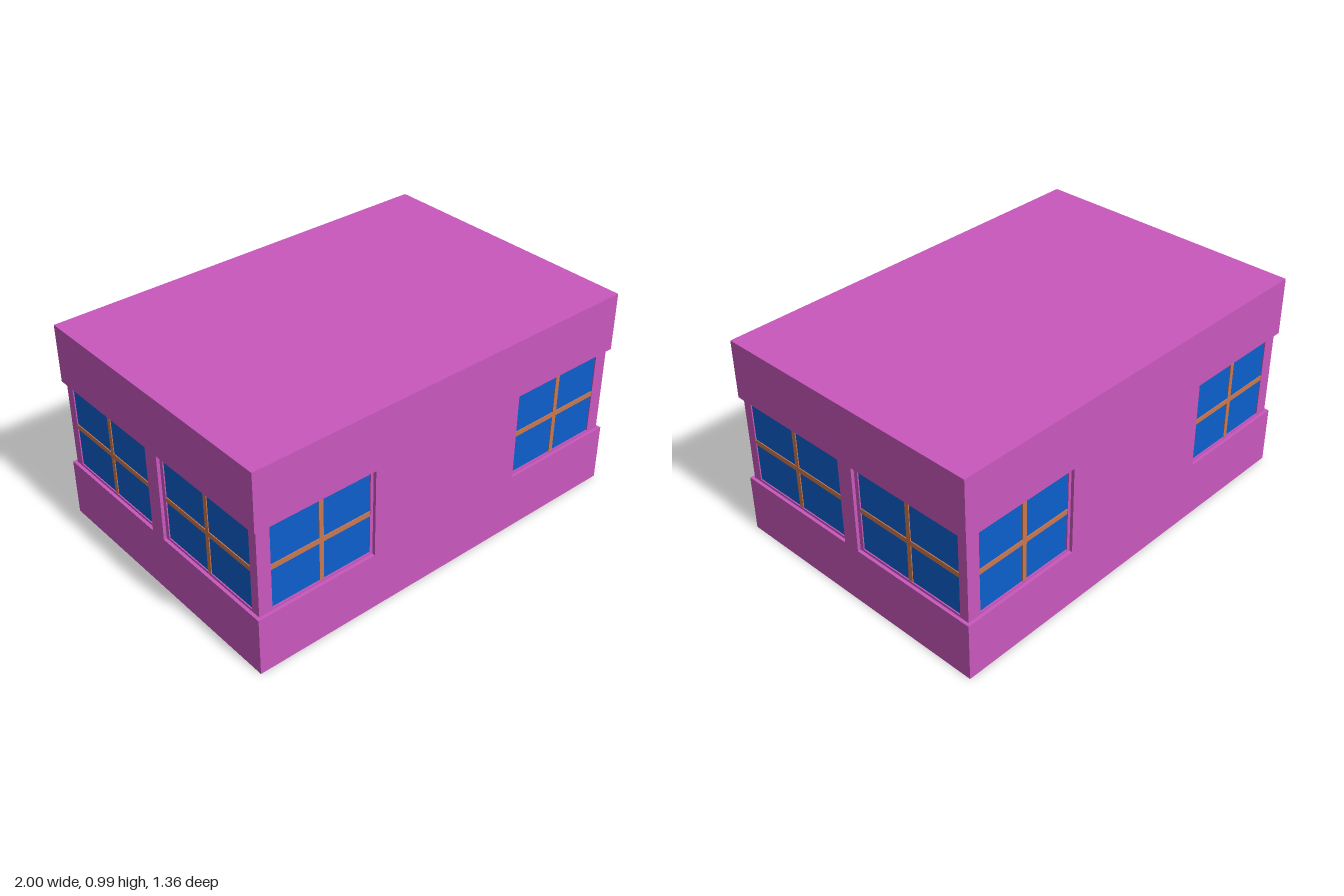
import * as THREE from 'three';

const W = 1, D = 0.68, H = 0.985;       // half width, half depth, height
const T = 0.015;                        // thickness of each wall layer
const Y0 = 0.28, Y1 = 0.705;            // opening in the outer wall
const P0 = 0.292, P1 = 0.693;           // window pane
const ROOF = 0.965, CEILING = 0.935;

const material = (color) => new THREE.MeshStandardMaterial({ color });
const pink = material(0xc957bd);
const blue = material(0x0c5fcc);
const orange = material(0xc97850);
const green = material(0x0f8024);

function add(group, name, geometry, mat, x = 0, y = 0, z = 0) {
  const mesh = new THREE.Mesh(geometry, mat);
  mesh.name = name;
  mesh.position.set(x, y, z);
  group.add(mesh);
  return mesh;
}

const polygon = (points) => new THREE.Shape(points.map(([x, y]) => new THREE.Vector2(x, y)));
const rectangle = (x0, y0, x1, y1) => polygon([[x0, y0], [x1, y0], [x1, y1], [x0, y1]]);
const slab = (shape) => new THREE.ExtrudeGeometry(shape, { depth: T, bevelEnabled: false });

// One side of the house, facing +z with its outer face at z = dist
function makeSide(name, dist, outer, inner, post, x0, x1) {
  const side = new THREE.Group();
  side.name = name;

  // Outer layer: upper and lower bands joined by a central post
  const wall = polygon([
    [-outer, 0], [outer, 0], [outer, Y0], [post, Y0], [post, Y1], [outer, Y1],
    [outer, ROOF], [-outer, ROOF], [-outer, Y1], [-post, Y1], [-post, Y0], [-outer, Y0],
  ]);
  add(side, 'outerWall', slab(wall), pink, 0, 0, dist - T);

  // Recessed layer with the two window holes
  const frame = rectangle(-inner, 0.1, inner, ROOF);
  frame.holes.push(rectangle(x0, P0, x1, P1), rectangle(-x1, P0, -x0, P1));
  add(side, 'windowFrame', slab(frame), pink, 0, 0, dist - 2 * T);

  // Panes and crossing glazing bars
  const w = x1 - x0, h = P1 - P0, z = dist - 1.5 * T;
  for (const s of [-1, 1]) {
    const x = s * (x0 + x1) / 2, y = (P0 + P1) / 2;
    add(side, 'windowPane', new THREE.BoxGeometry(w, h, 0.004), blue, x, y, z);
    add(side, 'verticalBar', new THREE.BoxGeometry(0.022, h, 0.012), orange, x, y, z);
    add(side, 'horizontalBar', new THREE.BoxGeometry(w, 0.024, 0.0125), orange, x, y, z);
  }
  return side;
}

export function createModel() {
  const model = new THREE.Group();
  model.name = 'house';

  // Four sides, each pair identical
  for (const [i, label] of ['front', 'left', 'back', 'right'].entries()) {
    const side = i % 2 === 0
      ? makeSide(label + 'Side', D, W, W - T, 0.405, 0.42, 0.92)
      : makeSide(label + 'Side', W, D - T, D - 2 * T, 0.04, 0.06, 0.62);
    side.rotation.y = i * Math.PI / 2;
    model.add(side);
  }

  // Flat roof with a ceiling beneath it
  add(model, 'roof', new THREE.BoxGeometry(2 * W, H - ROOF, 2 * D), pink, 0, (H + ROOF) / 2, 0);
  add(model, 'ceiling', new THREE.BoxGeometry(2 * (W - 2 * T), ROOF - CEILING, 2 * (D - 2 * T)),
    green, 0, (ROOF + CEILING) / 2, 0);

  return model;
}
